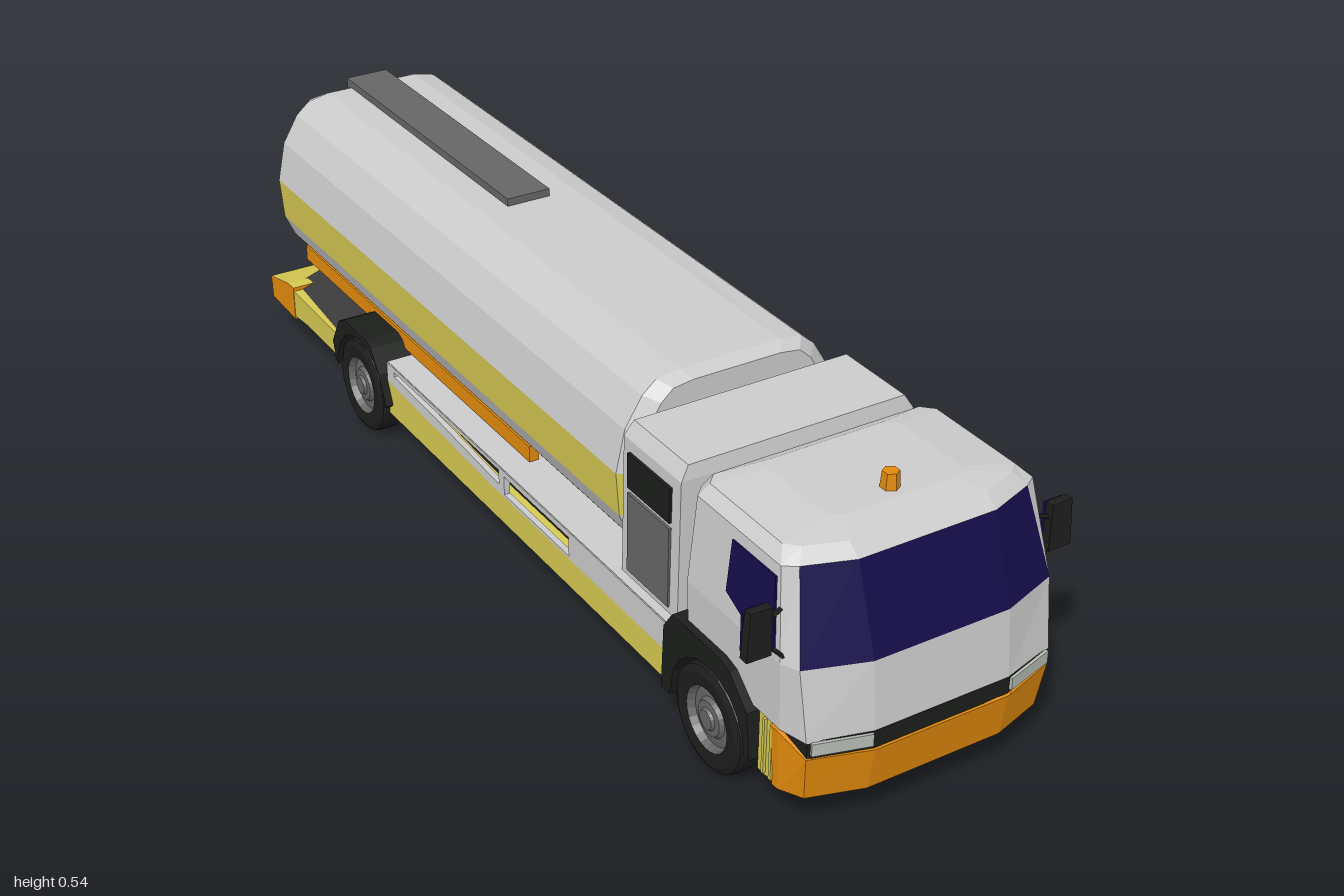
import * as THREE from 'three';

const mat = (color) => new THREE.MeshStandardMaterial({ color, flatShading: true });
const GREY = mat(0xcccccc), YELLOW = mat(0xd6c952), ORANGE = mat(0xe28a0c), NAVY = mat(0x150d4a);
const BLACK = mat(0x1c1e1c), DARK = mat(0x3a3a3a), MID = mat(0x666666), RED = mat(0xcc2222), LAMP = mat(0xb4bab2);

export function createModel() {
  const truck = new THREE.Group();

  const add = (name, geo, material, x = 0, y = 0, z = 0) => {
    const m = new THREE.Mesh(geo, material);
    m.name = name;
    m.position.set(x, y, z);
    truck.add(m);
    return m;
  };
  // box given by its limits
  const box = (name, material, x0, x1, y0, y1, z0, z1) =>
    add(name, new THREE.BoxGeometry(x1 - x0, y1 - y0, z1 - z0), material, (x0 + x1) / 2, (y0 + y1) / 2, (z0 + z1) / 2);

  // skin between rings of [x, y, z]; pick(i, j) selects the faces to keep
  const loft = (rings, caps = true, pick = () => true) => {
    const out = [], n = rings[0].length;
    const tri = (...p) => p.forEach((v) => out.push(...v));
    for (let i = 0; i < rings.length - 1; i++) for (let j = 0; j < n; j++) {
      if (!pick(i, j)) continue;
      const k = (j + 1) % n, [lo, hi] = [rings[i], rings[i + 1]];
      tri(lo[j], lo[k], hi[k]);
      tri(lo[j], hi[k], hi[j]);
    }
    if (caps) for (let j = 1; j < n - 1; j++) {
      const lo = rings[0], hi = rings[rings.length - 1];
      tri(lo[0], lo[j + 1], lo[j]);
      tri(hi[0], hi[j], hi[j + 1]);
    }
    const g = new THREE.BufferGeometry();
    g.setAttribute('position', new THREE.Float32BufferAttribute(out, 3));
    g.computeVertexNormals();
    return g;
  };
  const mirrored = (half) => [...half, ...half.map(([x, y, z]) => [-x, y, z]).reverse()];

  // side panel from (z, y) outline on both flanks; outer may depend on y
  const sides = (name, material, pts, outer, depth, holes = []) => {
    const path = (p) => p.map(([z, y]) => new THREE.Vector2(z, y));
    for (const s of [1, -1]) {
      const shape = new THREE.Shape(path(pts));
      holes.forEach((h) => shape.holes.push(new THREE.Path(path(h))));
      const g = new THREE.ExtrudeGeometry(shape, { depth, bevelEnabled: false }).rotateY(-Math.PI / 2);
      const p = g.attributes.position;
      for (let i = 0; i < p.count; i++) {
        const o = typeof outer === 'function' ? outer(p.getY(i)) : outer;
        p.setX(i, p.getX(i) + (s > 0 ? o : depth - o));
      }
      g.computeVertexNormals();
      add(name, g, material);
    }
  };

  // tank: octagonal-like section swept along z, bands split by colour
  const section = [[.165, .187], [.195, .225], [.215, .27], [.222, .355], [.205, .435], [.172, .49], [.145, .513], [.1, .519]];
  const tankRing = (z, sx, sy, lift = 0) =>
    mirrored(section.map(([x, y], i) => [x * sx, .36 + (y - .36) * sy + (i === 7 ? lift : 0), z]));
  const tankRings = [tankRing(-1, 0, .88), tankRing(-1, .66, .88), tankRing(-.985, .88, .96), tankRing(-.96, 1, 1, .004),
    tankRing(-.1, 1, 1, .004), tankRing(.39, 1, 1), tankRing(.413, .87, .92), tankRing(.413, 0, .92)];
  const last = 2 * section.length - 1;
  const isYellow = (j) => j === 2 || j === last - 3;
  const isBase = (j) => j === 0 || j === last - 1 || j === last;
  add('tankShell', loft(tankRings, false, (i, j) => !isYellow(j) && !isBase(j)), GREY);
  add('tankStripe', loft(tankRings, false, (i, j) => isYellow(j)), YELLOW);
  add('tankBase', loft(tankRings, false, (i, j) => isBase(j)), BLACK);
  sides('tankRail', ORANGE, [[.05, .19], [-.9, .19], [-.9, .222], [.05, .222]], .197, .02);
  box('catwalk', MID, -.045, .045, .518, .538, -.98, -.29);

  // cab: plan outlines stacked by height
  const plan = (y, hw, zs, fc, zc, zf, zr, ySide = y, fm = .13) => mirrored([
    [fm, y, zf], [fc, y, zc], [hw, ySide, zs], [hw, ySide, zr + .02], [hw - .02, ySide, zr]]);
  const cab = [
    plan(.187, .25, .915, .236, .965, .995, .64),
    plan(.312, .255, .915, .24, .945, .982, .64),
    plan(.465, .239, .885, .216, .9, .93, .64),
    plan(.484, .22, .86, .2, .88, .905, .645),
    plan(.496, .13, .84, .125, .85, .86, .67, .496, .1)];
  const isGlass = (i, j) => i === 1 && (j === 0 || j > 7);
  add('cabBody', loft(cab, true, (i, j) => !isGlass(i, j)), GREY);
  add('windshield', loft(cab, false, isGlass), NAVY);
  sides('sideWindow', NAVY, [[.88, .445], [.9, .325], [.84, .325], [.765, .355], [.765, .445]],
    (y) => .258 - (y - .312) * .103, .006);
  add('grille', loft([plan(.15, .245, .915, .234, .964, .995, .86), plan(.19, .246, .915, .234, .965, .996, .86)]), BLACK);
  add('frontBumper', loft([plan(.072, .25, .915, .228, .955, .985, .88), plan(.157, .255, .915, .236, .966, 1, .88, .186)]), ORANGE);
  for (const s of [1, -1]) {
    const lamp = box('headlight', LAMP, s * .181 - .05, s * .181 + .05, .165, .188, .976, .986);
    lamp.rotation.y = s * .28;
  }

  // cab step with ribs
  sides('cabStep', YELLOW, [[.86, .075], [.912, .075], [.912, .19], [.86, .19]], .249, .08);
  for (const z of [.875, .895]) sides('stepRib', YELLOW, [[z, .08], [z + .006, .08], [z + .006, .185], [z, .185]], .254, .01);

  // beacon
  add('beacon', new THREE.CylinderGeometry(.014, .017, .036, 6), ORANGE, 0, .507, .83);

  // mirrors on two thin arms
  const rod = (name, a, b, r) => add(name, new THREE.TubeGeometry(
    new THREE.LineCurve3(new THREE.Vector3(...a), new THREE.Vector3(...b)), 1, r, 6), BLACK);
  for (const s of [1, -1]) {
    const x = s * .288;
    const shell = add('mirror', new THREE.CylinderGeometry(.028, .032, .086, 4, 1, false, Math.PI / 4).scale(1, 1, .4), BLACK, x, .372, .9);
    shell.rotation.z = s * .03;
    box('mirrorGlass', NAVY, x - .018, x + .018, .336, .408, .882, .888);
    rod('mirrorArm', [s * .235, .4, .895], [s * .272, .388, .9], .004);
    rod('mirrorArm', [s * .24, .315, .92], [s * .272, .345, .9], .004);
  }

  // equipment cabinet behind the cab
  const cabinetRing = (y, hw, z0, z1) => mirrored([[hw, y, z1], [hw, y, z0]]);
  add('cabinet', loft([cabinetRing(.18, .231, .425, .597), cabinetRing(.45, .228, .425, .597), cabinetRing(.476, .212, .43, .592)]), GREY);
  sides('cabinetDoor', MID, [[.445, .2], [.572, .2], [.572, .352], [.445, .352]], .234, .01);
  sides('cabinetVent', BLACK, [[.445, .362], [.572, .362], [.572, .428], [.445, .428]], .234, .01);

  // chassis with gaps for the wheels
  const hull = new THREE.Shape();
  const edge = [[.24, .9], [.24, .85], [.14, .85], [.14, .63], [.24, .61], [.24, -.4], [.13, -.42], [.13, -.62], [.24, -.63]];
  [...edge, ...edge.map(([x, z]) => [-x, z]).reverse()].forEach(([x, z], i) => (i ? hull.lineTo(x, -z) : hull.moveTo(x, -z)));
  add('underTray', new THREE.ExtrudeGeometry(hull, { depth: .02, bevelEnabled: false }).rotateX(-Math.PI / 2), DARK, 0, .075, 0);
  box('chassisCore', BLACK, -.14, .14, .08, .186, -.64, .9);
  box('chassisFill', BLACK, -.21, .21, .085, .18, -.4, .6);
  box('deck', GREY, -.248, .248, .178, .188, -.42, .605);

  // side skirts: yellow below, grey with recesses above
  sides('skirt', YELLOW, [[.605, .075], [.605, .132], [0, .132], [-.42, .148], [-.42, .075]], .25, .03);
  sides('sidePanel', GREY, [[.605, .13], [.605, .187], [-.42, .187], [-.42, .147], [0, .13]], .25, .012,
    [[[.28, .138], [.05, .138], [.05, .176], [.28, .176]], [[.03, .15], [.03, .18], [-.39, .178], [-.39, .168], [-.2, .162]]]);

  // rear deck with sloping shoulders, yellow flanks and bumper
  const tailRing = (z, top) => mirrored([[.243, .08, z], [.243, .14, z], [.16, top, z]]);
  add('rearDeck', loft([tailRing(-.89, .168), tailRing(-.62, .187)]), DARK);
  sides('rearFlank', YELLOW, [[-.6, .072], [-.63, .14], [-.87, .145], [-.87, .085], [-.8, .092], [-.68, .09]], .249, .03);
  const bumperRing = (x, pts) => pts.map(([z, y]) => [x, y, z]);
  const bumperSide = [[-.86, .08], [-.972, .085], [-.975, .132], [-.885, .153], [-.86, .153]];
  const bumperRings = [bumperRing(-.25, bumperSide), bumperRing(.25, bumperSide)];
  const isTop = (i, j) => j === 2 || j === 3;
  add('rearBumper', loft(bumperRings, true, (i, j) => !isTop(i, j)), ORANGE);
  add('rearBumperTop', loft(bumperRings, false, isTop), YELLOW);
  for (const s of [1, -1]) box('tailLight', RED, s * .18 - .045, s * .18 + .045, .103, .124, -.979, -.97);

  // wheel arches
  const arch = (zc, r) => Array.from({ length: 11 }, (_, i) => {
    const a = Math.PI * (1 - i / 10);
    return [zc + r * Math.cos(a), .095 + r * Math.sin(a)];
  });
  sides('frontFender', BLACK, [[.86, .095], [.85, .18], [.8, .228], [.77, .236], [.635, .236], [.61, .2], [.605, .075], [.63, .075], ...arch(.74, .105)], .266, .1);
  sides('rearFender', BLACK, [[-.4, .1], [-.425, .16], [-.455, .205], [-.475, .213], [-.575, .213], [-.6, .2], [-.635, .14], [-.625, .1], ...arch(-.51, .105)], .266, .13);

  // wheels: single in front, twin at the rear
  const lathe = (pts) => new THREE.LatheGeometry(pts.map(([r, y]) => new THREE.Vector2(r, y)), 24);
  const tyre = lathe([[0, -.029], [.082, -.029], [.093, -.024], [.096, -.015], [.096, .015], [.093, .024], [.082, .029], [.058, .027]]);
  const rim = lathe([[.058, .027], [.052, .014], [.036, .016], [.031, .023], [.02, .024], [.017, .029], [0, .029]]);
  for (const s of [1, -1]) for (const [x, z] of [[.239, .74], [.239, -.51], [.179, -.51]]) {
    const wheel = new THREE.Group();
    wheel.name = 'wheel';
    for (const [name, g, m] of [['tyre', tyre, BLACK], ['rim', rim, MID]]) {
      const part = new THREE.Mesh(g, m);
      part.name = name;
      wheel.add(part);
    }
    wheel.position.set(s * x, .096, z);
    wheel.rotation.z = -s * Math.PI / 2;
    truck.add(wheel);
  }
  for (const z of [.74, -.51]) add('axle', new THREE.CylinderGeometry(.02, .02, .42, 10).rotateZ(Math.PI / 2), BLACK, 0, .096, z);

  return truck;
}
